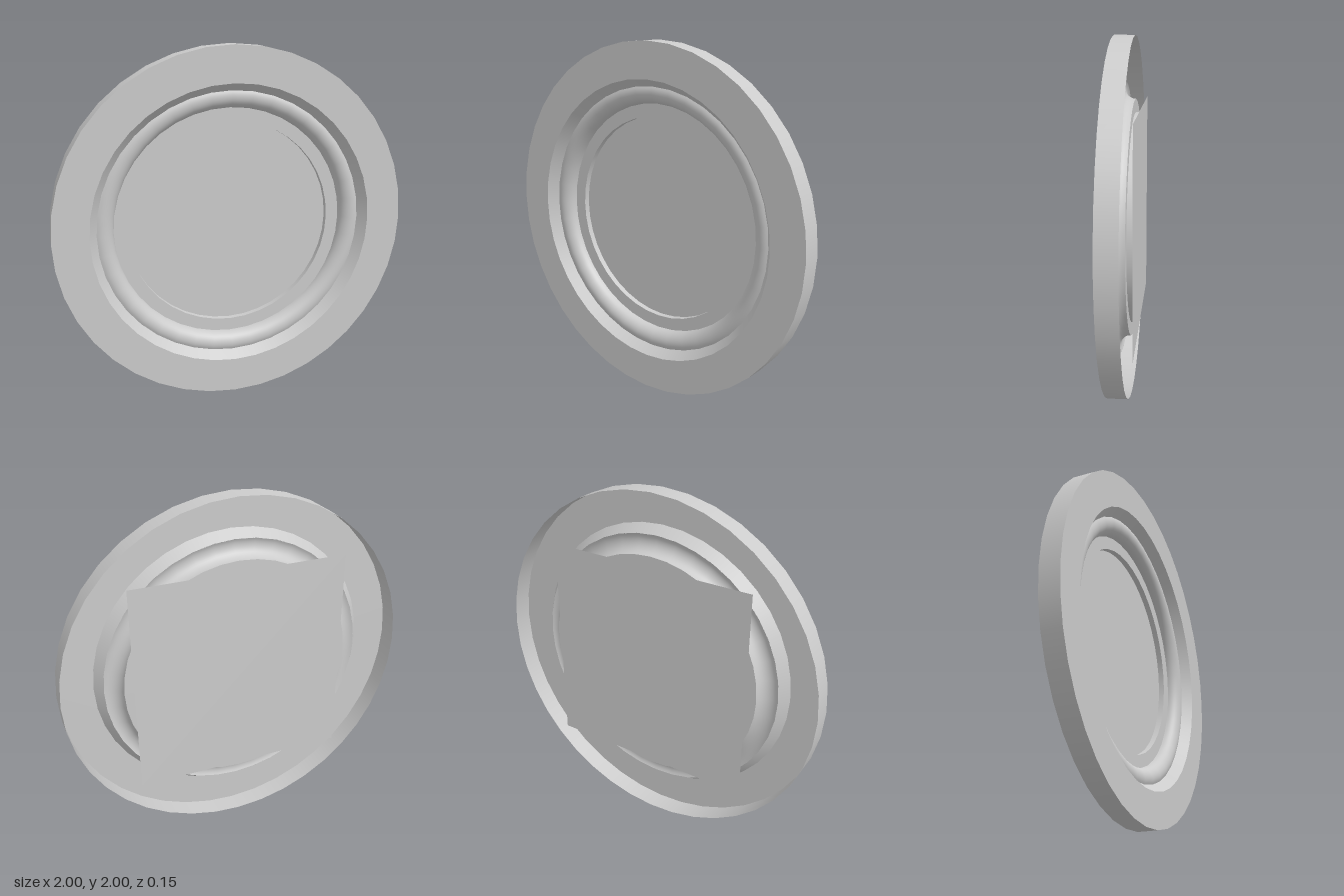
import * as THREE from 'three';

const SEGMENTS = 40;
const material = new THREE.MeshStandardMaterial({ color: 0xcccccc, side: THREE.DoubleSide });

export function createModel() {
  const model = new THREE.Group();
  const add = (name, geometry, z = 0) => {
    const mesh = new THREE.Mesh(geometry, material);
    mesh.name = name;
    mesh.position.set(0, 1, z);
    model.add(mesh);
  };

  // A thin band revolved around the z axis through [radius, z] points
  const band = (name, ...profile) => {
    const points = profile.map(([r, z]) => new THREE.Vector2(r, z));
    add(name, new THREE.LatheGeometry(points, SEGMENTS).rotateX(Math.PI / 2));
  };

  // Outer frame: an open-backed shell with rim, front face and sloped lip
  band('frameRim', [1, -0.04], [1, 0.073]);
  band('frameFront', [1, 0.073], [0.8, 0.073]);
  band('frameInnerLip', [0.8, 0.073], [0.757, 0.016]);

  // Rounded bead: an arc from the lip over and down to the flange
  const arc = [];
  for (let i = 0; i <= 12; i++) {
    const angle = Math.PI * (1 / 3 + (i / 12) * (2 / 3));
    arc.push([0.725 + 0.065 * Math.cos(angle), -0.04 + 0.065 * Math.sin(angle)]);
  }
  band('bead', ...arc);

  // Flat inner flange and the shallow recess behind it
  band('innerFlange', [0.66, -0.04], [0.587, -0.04]);
  band('recessWall', [0.587, -0.073], [0.587, -0.04]);

  // Square backing plate closing the recess
  add('backPlate', new THREE.PlaneGeometry(1.225, 1.225).rotateY(Math.PI), -0.073);

  return model;
}
